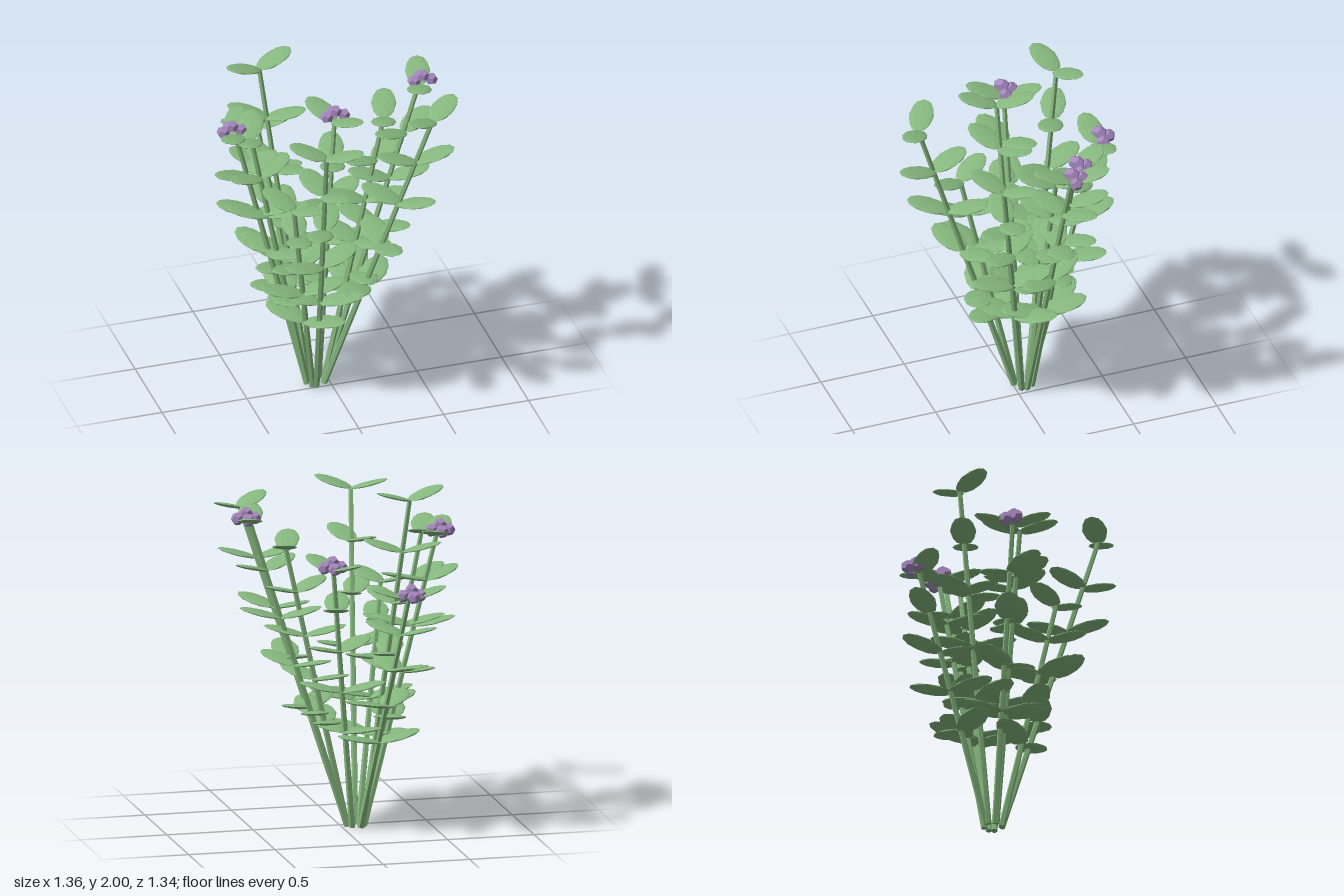
import * as THREE from 'three';

const leafGreen = new THREE.MeshStandardMaterial({ color: 0x86b87e, flatShading: true });
leafGreen.name = 'leaf green';
const blossomPurple = new THREE.MeshStandardMaterial({ color: 0xa486bc, flatShading: true });
blossomPurple.name = 'blossom purple';

const CENTER = new THREE.Vector3(-0.08, 0, -0.055);
const NODES = 5;

// Each stem: tip x, y, z, heading of its top leaf pair in degrees (x towards z), has blossom
const STEMS = [
  [-0.32, 1.93, -0.345, -18, false],
  [-0.20, 1.81, 0.53, 31, false],
  [0.505, 1.795, 0.28, -39, false],
  [0.335, 1.635, -0.095, 108, false],
  [-0.465, 1.67, -0.04, 109, false],
  [-0.30, 1.33, 0.24, 57, false],
  [-0.535, 1.67, -0.11, 113, true],
  [0.545, 1.80, -0.11, 105, true],
  [-0.26, 1.415, -0.565, 0, true],
  [0.11, 1.535, -0.30, 63, true],
];

// Flattened faceted lens, growing along +x from its base
const leafGeometry = new THREE.IcosahedronGeometry(1, 1);
leafGeometry.scale(0.119, 0.012, 0.073);
leafGeometry.translate(0.111, 0, 0);

const ballGeometry = new THREE.DodecahedronGeometry(0.038, 0);
const BALLS = [[0, 0.02, 0], [0.05, -0.01, 0], [-0.05, -0.01, 0], [0, -0.01, -0.05]];

function makeStem(base, tip) {
  const dir = tip.clone().sub(base);
  const stem = new THREE.Mesh(new THREE.CylinderGeometry(0.014, 0.019, dir.length(), 5), leafGreen);
  stem.position.copy(base).lerp(tip, 0.5);
  stem.quaternion.setFromUnitVectors(new THREE.Vector3(0, 1, 0), dir.normalize());
  stem.name = 'stem';
  return stem;
}

// Two opposite leaves, both rising away from the stem
function makeLeafPair(position, heading, tilt, size) {
  const pair = new THREE.Group();
  pair.name = 'leafPair';
  pair.position.copy(position);
  pair.scale.setScalar(size);
  for (const turn of [0, Math.PI]) {
    const leaf = new THREE.Mesh(leafGeometry, leafGreen);
    leaf.name = 'leaf';
    leaf.rotation.set(0, -heading + turn, tilt);
    pair.add(leaf);
  }
  return pair;
}

function makeBlossom(position) {
  const blossom = new THREE.Group();
  blossom.name = 'blossom';
  blossom.position.copy(position);
  for (const offset of BALLS) {
    const ball = new THREE.Mesh(ballGeometry, blossomPurple);
    ball.name = 'petalBall';
    ball.position.set(...offset);
    blossom.add(ball);
  }
  return blossom;
}

export function createModel() {
  const plant = new THREE.Group();
  plant.name = 'plant';
  for (const [x, y, z, degrees, flowering] of STEMS) {
    const branch = new THREE.Group();
    branch.name = 'branch';
    const tip = new THREE.Vector3(x, y, z);
    const outward = new THREE.Vector3(x, 0, z).sub(CENTER).setY(0).normalize();
    const base = CENTER.clone().addScaledVector(outward, 0.05).setY(0.005);
    branch.add(makeStem(base, tip));

    // Leaf pairs down the stem, turned by the golden angle, larger and flatter lower down
    for (let i = 0; i < NODES; i++) {
      const node = base.clone().lerp(tip, 1 - i * 0.157);
      const heading = THREE.MathUtils.degToRad(degrees - i * 137.5);
      branch.add(makeLeafPair(node, heading, 0.29 - i * 0.02, 0.98 + i * 0.035));
    }

    if (flowering) {
      const slope = tip.clone().sub(base).normalize();
      branch.add(makeBlossom(new THREE.Vector3(x + slope.x * 0.08, y + 0.035, z + slope.z * 0.08)));
    }
    plant.add(branch);
  }
  return plant;
}
